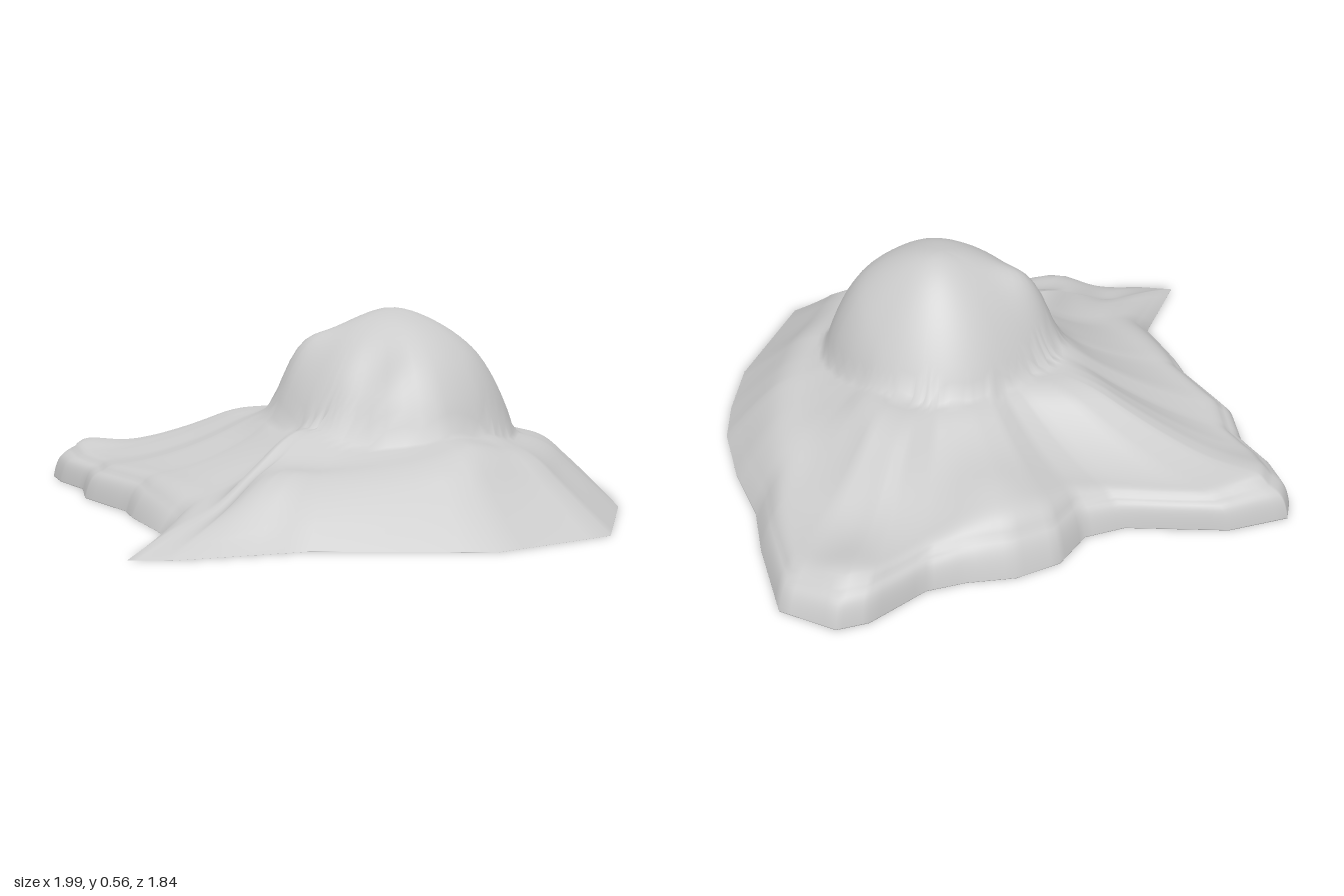
import * as THREE from 'three';

// Ground outline: x, z, rim height, and where along the ray the rim starts to drop
const OUTLINE = [
  [-0.28, -0.92, 0.10, 0.94], [-0.12, -0.84, 0.09, 0.94], [0.08, -0.63, 0.10, 0.92], [0.19, -0.58, 0.12, 0.90],
  [0.32, -0.61, 0.14, 0.87], [0.45, -0.57, 0.14, 0.87], [0.56, -0.49, 0.12, 0.89], [0.66, -0.44, 0.10, 0.92],
  [0.85, -0.43, 0.10, 0.93], [0.93, -0.39, 0.10, 0.93], [0.99, -0.23, 0.09, 0.91], [0.87, 0, 0.11, 0.85],
  [0.78, 0.14, 0.13, 0.80], [0.71, 0.32, 0.16, 0.75], [0.61, 0.50, 0.18, 0.71], [0.51, 0.61, 0.18, 0.70],
  [0.36, 0.74, 0.19, 0.68], [0.01, 0.92, 0.20, 0.67], [-0.34, 0.80, 0.19, 0.68], [-0.64, 0.42, 0.18, 0.74],
  [-0.93, 0.22, 0.07, 0.72], [-1, 0.13, 0.05, 0.72], [-0.74, 0.01, 0.11, 0.82], [-0.63, -0.23, 0.11, 0.88],
  [-0.58, -0.31, 0.11, 0.90], [-0.52, -0.54, 0.10, 0.92], [-0.43, -0.65, 0.09, 0.93], [-0.39, -0.79, 0.09, 0.94],
  [-0.34, -0.88, 0.09, 0.94],
];

// Local lumps and hollows: x, z, height, radius
const BUMPS = [
  [-0.15, -0.04, 0.07, 0.085], [-0.18, 0.27, -0.04, 0.07], [0.11, 0.12, 0.02, 0.11], [-0.15, 0.57, 0.03, 0.10],
  [-0.27, -0.80, 0.02, 0.10], [0.84, -0.33, 0.02, 0.09], [0.68, -0.2, -0.02, 0.11],
  [0.38, -0.40, 0.03, 0.13], [0.5, 0.12, 0.025, 0.12], [-0.57, 0.24, 0.055, 0.12], [0.12, 0.64, -0.01, 0.10],
];

const CX = 0.04, CZ = 0.15, RINGS = 54, STEPS = 5, SHOULDER = 0.43, SKIRT = 0.25, BLUR = 9;
const { lerp, smoothstep } = THREE.MathUtils;

// Skirt sloping from the foot of the dome to the rim, then down to the ground:
// a gentle slope where the drop starts early, a rounded cliff where it starts late
function skirt(t, rim, start) {
  if (t < SHOULDER) return SKIRT;
  if (t < start) {
    const u = (t - SHOULDER) / (start - SHOULDER);
    return SKIRT + (rim - SKIRT) * (1 - (1 - u) ** 1.7);
  }
  return rim * (1 - ((t - start) / (1 - start)) ** (0.85 + Math.max(0, start - 0.67) * 9));
}

// Average samples along the ray so the slopes meet softly
function softSkirt(t, rim, start) {
  const w = Math.min(0.06, 1 - t);
  let sum = 0;
  for (let i = 0; i < BLUR; i++) sum += skirt(t + w * (2 * i / (BLUR - 1) - 1), rim, start);
  return sum / BLUR;
}

// Rounded summit, steeper in front than behind
function dome(x, z) {
  const dx = Math.abs(x - 0.035) / 0.33;
  const dz = Math.abs(z - 0.16) / (z > 0.16 ? 0.355 : 0.325);
  const d = dx ** 2.3 + dz ** 2.3;
  return d < 1 ? 0.295 * (1 - d) ** lerp(1.0, 0.8, smoothstep(z, -0.05, 0.4)) : 0;
}

function heightAt(x, z, t, rim, start) {
  let y = softSkirt(t, rim, start) + dome(x, z);
  const fade = Math.min(1, (1 - t) / 0.08);
  for (const [bx, bz, h, r] of BUMPS) {
    y += fade * h * Math.exp(-((x - bx) ** 2 + (z - bz) ** 2) / (r * r));
  }
  return Math.max(0, y);
}

// Rays to the subdivided outline, with rim values averaged over their neighbours
function outlineRays() {
  const raw = OUTLINE.flatMap((a, i) => {
    const b = OUTLINE[(i + 1) % OUTLINE.length];
    return Array.from({ length: STEPS }, (_, s) => a.map((v, k) => lerp(v, b[k], s / STEPS)));
  });
  return raw.map(([x, z], j) => {
    let rim = 0, start = 0;
    for (let o = -4; o <= 4; o++) {
      const near = raw[(j + o + raw.length) % raw.length];
      rim += near[2] / 9;
      start += near[3] / 9;
    }
    return [x, z, rim, start];
  });
}

export function createModel() {
  const group = new THREE.Group();
  group.name = 'rockyMound';
  const rays = outlineRays();
  const n = rays.length;
  const pos = [CX, heightAt(CX, CZ, 0, 0.1, 0.9), CZ], idx = [];

  // One ring of vertices at fraction t of every ray
  const addRing = (t, height) => rays.forEach(([ox, oz, rim, start]) => {
    const x = lerp(CX, ox, t), z = lerp(CZ, oz, t);
    pos.push(x, height(x, z, t, rim, start), z);
  });

  // Upper surface: rings closer together at the rim, then a narrow strip turning under
  for (let k = 1; k < RINGS; k++) addRing(Math.sin((k / RINGS) * Math.PI / 2), heightAt);
  addRing(1, () => 0);
  addRing(0.97, () => 0);

  // Flat underside closes on a centre point
  const bottom = pos.length / 3;
  pos.push(CX, 0, CZ);

  for (let j = 0; j < n; j++) {
    const next = (j + 1) % n;
    idx.push(0, 1 + next, 1 + j);
    for (let k = 1; k <= RINGS; k++) {
      const outer = 1 + k * n, inner = outer - n;
      idx.push(inner + j, outer + next, outer + j, inner + j, inner + next, outer + next);
    }
    idx.push(bottom, bottom - n + j, bottom - n + next);
  }

  const geometry = new THREE.BufferGeometry();
  geometry.setAttribute('position', new THREE.Float32BufferAttribute(pos, 3));
  geometry.setIndex(idx);
  geometry.computeVertexNormals();
  const mound = new THREE.Mesh(geometry, new THREE.MeshStandardMaterial({ color: 0xcccccc }));
  mound.name = 'moundSurface';
  group.add(mound);
  return group;
}
